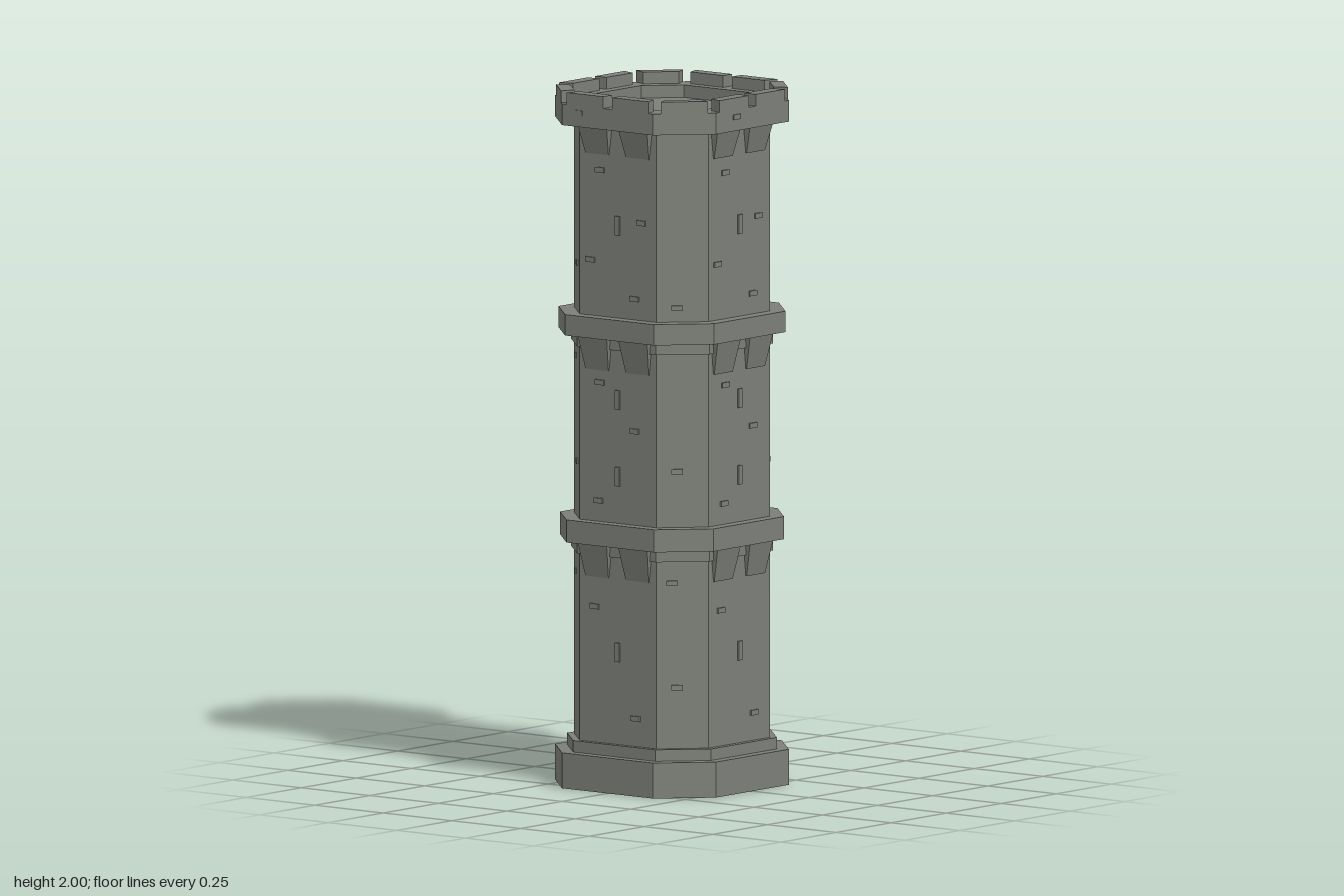
import * as THREE from 'three';

const stone = new THREE.MeshStandardMaterial({ color: 0x7c7f78 });
stone.name = 'stone';

// Corner points of a square with cut corners: a = half width, c = where the cut starts
const octagon = (a, c) =>
  [[c, a], [-c, a], [-a, c], [-a, -c], [-c, -a], [c, -a], [a, -c], [a, c]].map(([x, y]) => new THREE.Vector2(x, y));

// Upright prism over a plan outline, with an optional hole
function prism(name, points, y0, y1, hole) {
  const shape = new THREE.Shape(points);
  if (hole) shape.holes.push(new THREE.Path(hole));
  const geo = new THREE.ExtrudeGeometry(shape, { depth: y1 - y0, bevelEnabled: false });
  geo.rotateX(-Math.PI / 2).translate(0, y0, 0);
  const mesh = new THREE.Mesh(geo, stone);
  mesh.name = name;
  return mesh;
}

// Sloping bracket: wide and deep at the top, narrow and flush at the bottom
function corbel(u, y0, y1, reach) {
  const geo = new THREE.BoxGeometry(0.105, y1 - y0, 0.03).toNonIndexed();
  const p = geo.attributes.position;
  for (let i = 0; i < p.count; i++) {
    const low = p.getY(i) < 0;
    if (low) p.setX(i, p.getX(i) * 0.8);
    p.setZ(i, p.getZ(i) < 0 ? -0.02 : low ? 0.003 : reach);
  }
  geo.computeVertexNormals();
  const mesh = new THREE.Mesh(geo, stone);
  mesh.name = 'corbel';
  mesh.position.set(u, (y0 + y1) / 2, 0.245);
  return mesh;
}

function block(name, w, h, d, x, y, z) {
  const mesh = new THREE.Mesh(new THREE.BoxGeometry(w, h, d), stone);
  mesh.name = name;
  mesh.position.set(x, y, z);
  return mesh;
}

// Group whose +z looks out of the wall at the given angle
function wall(name, degrees) {
  const g = new THREE.Group();
  g.name = name;
  g.rotation.y = THREE.MathUtils.degToRad(degrees);
  return g;
}

const brick = (u, y, d) => block('brick', 0.032, 0.015, 0.01, u, y, d);

// Raised arch surround
function archFrame(y) {
  const s = new THREE.Shape();
  s.moveTo(-0.035, 0).lineTo(-0.035, 0.06).absarc(0, 0.06, 0.035, Math.PI, 0, true);
  s.lineTo(0.035, 0).lineTo(0.022, 0).lineTo(0.022, 0.06);
  s.absarc(0, 0.06, 0.022, 0, Math.PI, false).lineTo(-0.022, 0);
  const mesh = new THREE.Mesh(
    new THREE.ExtrudeGeometry(s, { depth: 0.008, bevelEnabled: false, curveSegments: 6 }), stone);
  mesh.name = 'archFrame';
  mesh.position.set(0, y, 0.244);
  return mesh;
}

export function createModel() {
  const tower = new THREE.Group();
  tower.name = 'tower';

  // Hollow plinth, step and shaft
  tower.add(
    prism('plinth', octagon(0.293, 0.166), 0, 0.1, octagon(0.283, 0.162)),
    prism('plinthTop', octagon(0.293, 0.166), 0.098, 0.102),
    prism('plinthStep', octagon(0.262, 0.15), 0.102, 0.135),
    prism('shaft', octagon(0.245, 0.14), 0.13, 1.91)
  );

  // Belt courses with their necks
  for (const [y0, y1, a, c] of [[0.705, 0.77, 0.28, 0.16], [1.3, 1.36, 0.284, 0.162]]) {
    tower.add(prism('beltNeck', octagon(0.252, 0.144), y0 - 0.033, y0));
    tower.add(prism('belt', octagon(a, c), y0, y1));
  }

  // Crown: floor slab, parapet and merlons
  tower.add(
    prism('crownFloor', octagon(0.293, 0.166), 1.905, 1.93),
    prism('parapet', octagon(0.293, 0.166), 1.93, 1.966, octagon(0.222, 0.135))
  );
  for (let i = 0; i < 4; i++) {
    const side = wall('merlons', i * 90);
    for (const s of [-1, 1]) {
      const pts = [[0.016, 0.293], [0.149, 0.293], [0.135, 0.252], [0.016, 0.252]];
      side.add(prism('merlon', pts.map(([x, z]) => new THREE.Vector2(s * x, -z)), 1.966, 2));
    }
    const corner = [[0.182, 0.277], [0.277, 0.182], [0.238, 0.165], [0.165, 0.238]];
    side.add(prism('cornerMerlon', corner.map(([x, z]) => new THREE.Vector2(x, -z)), 1.966, 2));

    // Corbels under each projecting course
    for (const [y0, y1, reach] of [[0.61, 0.705, 0.024], [1.205, 1.3, 0.024], [1.825, 1.905, 0.024]]) {
      for (const u of [-0.075, 0.072]) side.add(corbel(u, y0, y1, reach));
    }
    tower.add(side);
  }

  // Walls with arrow slits and scattered bricks
  const slits = [0.4, 0.905, 1.125, 1.625];
  const slitBricks = [[-0.085, 0.525], [0.065, 0.215], [-0.07, 0.83], [0.06, 1.04],
    [-0.065, 1.17], [-0.065, 1.78], [0.085, 1.64], [-0.1, 1.52], [0.06, 1.42]];
  for (const angle of [0, -90]) {
    const face = wall('slitWall', angle);
    for (const y of slits) face.add(block('arrowSlit', 0.016, 0.055, 0.012, 0, y, 0.245));
    for (const [u, y] of slitBricks) face.add(brick(u, y, 0.245));
    tower.add(face);
  }

  // Arched window on the left wall
  const archWall = wall('archWall', 90);
  archWall.add(archFrame(1.5), brick(-0.07, 1.67, 0.245), brick(0.08, 1.55, 0.245));
  const backWall = wall('backWall', 180);
  backWall.add(brick(0.07, 1.73, 0.245));
  tower.add(archWall, backWall);

  // Bricks on the corner walls
  const corners = [
    [45, [[0.025, 1.83], [0.025, 1.23], [0.025, 0.61], [-0.03, 0.93], [0.01, 0.31]]],
    [-45, [[-0.015, 1.4], [-0.015, 0.93], [-0.03, 0.61], [-0.015, 0.31]]],
    [135, [[-0.02, 1.83], [-0.015, 1.59], [-0.02, 1.23], [-0.02, 0.61]]],
    [-135, [[0.02, 1.5], [-0.02, 1.23], [0.02, 0.93], [-0.02, 0.61]]],
  ];
  for (const [angle, list] of corners) {
    const face = wall('cornerWall', angle);
    for (const [u, y] of list) face.add(brick(u, y, 0.272));
    tower.add(face);
  }

  // Bricks on the crown
  for (const [angle, u, d] of [[0, -0.072, 0.291], [180, 0.115, 0.291], [-90, -0.107, 0.291],
    [90, 0.1, 0.289], [135, -0.01, 0.323], [-45, -0.03, 0.321]]) {
    const face = wall('crownBrick', angle);
    face.add(brick(u, 1.945, d));
    tower.add(face);
  }
  return tower;
}
